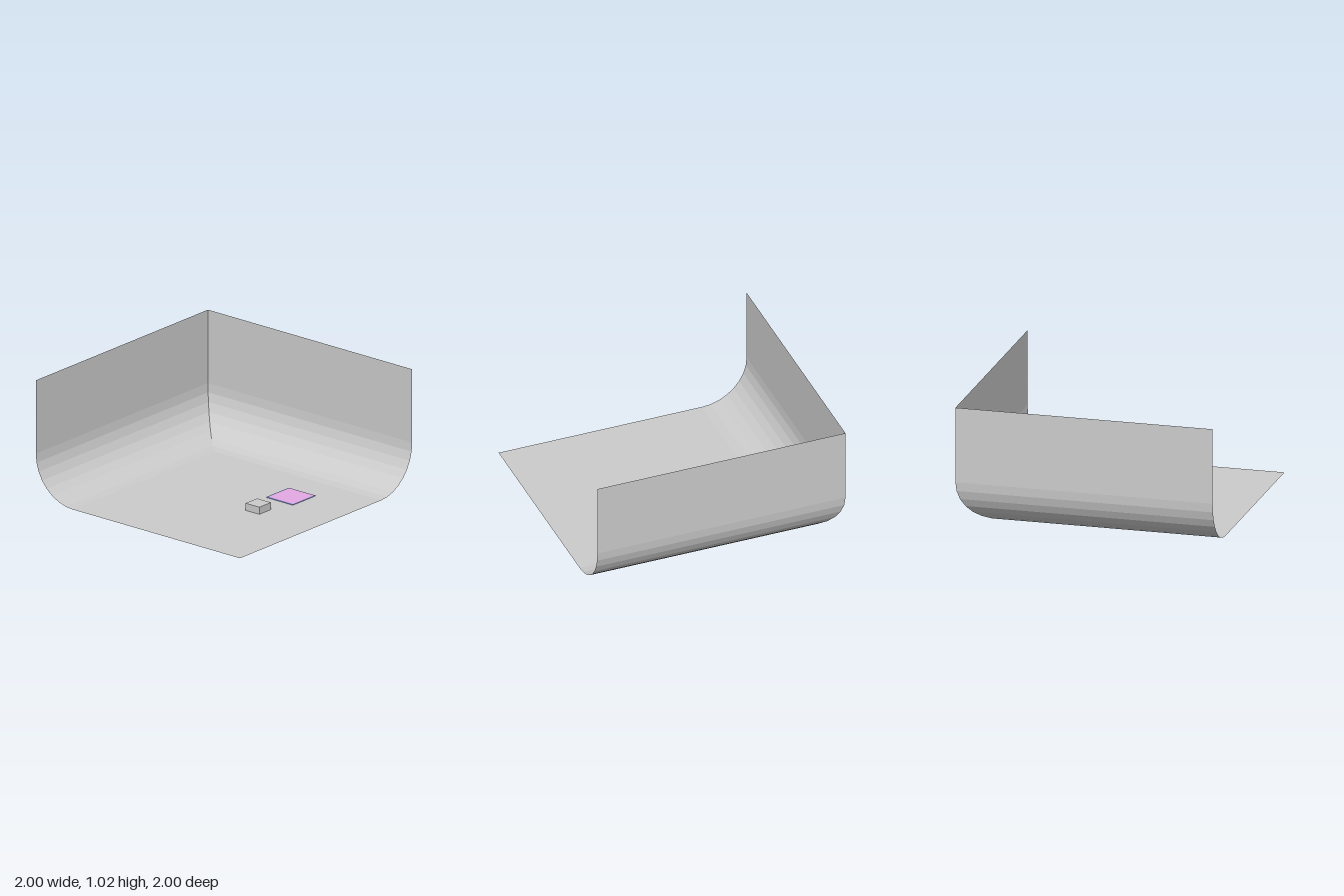
import * as THREE from 'three';

export function createModel() {
  const model = new THREE.Group();
  const grey = new THREE.MeshStandardMaterial({ color: 0xcccccc, side: THREE.DoubleSide, flatShading: true });
  grey.name = 'light grey';
  const blue = new THREE.MeshStandardMaterial({ color: 0x939bdf });
  blue.name = 'periwinkle';
  const pink = new THREE.MeshStandardMaterial({ color: 0xe5aae5 });
  pink.name = 'pink';

  const add = (name, geometry, material, x, y, z) => {
    const mesh = new THREE.Mesh(geometry, material);
    mesh.name = name;
    mesh.position.set(x, y, z);
    model.add(mesh);
    return mesh;
  };

  // Profile of the sheet: wall top, quarter-round cove, floor; d is both the x and z offset
  const floorY = 0.08, radius = 0.36, steps = 8;
  const profile = [[-1, 1.025]];
  for (let i = 0; i <= steps; i++) {
    const a = (i / steps) * Math.PI / 2;
    profile.push([-1 + radius * (1 - Math.cos(a)), floorY + radius * (1 - Math.sin(a))]);
  }
  profile.push([1, floorY]);

  // Two mitred strips, along the back and along the side, meeting on the diagonal
  const backStrip = [], sideStrip = [];
  const quad = (list, a, b, c, d) => list.push(...a, ...b, ...c, ...a, ...c, ...d);
  for (let i = 0; i < profile.length - 1; i++) {
    const [d0, y0] = profile[i], [d1, y1] = profile[i + 1];
    quad(backStrip, [d0, y0, d0], [d1, y1, d1], [1, y1, d1], [1, y0, d0]);
    quad(sideStrip, [d0, y0, d0], [d0, y0, 1], [d1, y1, 1], [d1, y1, d1]);
  }
  const sheet = (points) => {
    const geometry = new THREE.BufferGeometry();
    geometry.setAttribute('position', new THREE.Float32BufferAttribute(points, 3));
    geometry.computeVertexNormals();
    return geometry;
  };
  add('backWallAndFloor', sheet(backStrip), grey, 0, 0, 0);
  add('sideWallAndFloor', sheet(sideStrip), grey, 0, 0, 0);

  // Small block set through the floor
  add('block', new THREE.BoxGeometry(0.135, 0.137, 0.135), grey, 0.43, 0.0685, 0.112);

  // Square tile with a thin round-cornered inlay
  add('tile', new THREE.BoxGeometry(0.26, 0.025, 0.262), blue, 0.432, 0.0715, -0.264);
  const h = 0.12, r = 0.012;
  const inlay = new THREE.Shape();
  inlay.absarc(h - r, h - r, r, 0, Math.PI / 2);
  inlay.absarc(r - h, h - r, r, Math.PI / 2, Math.PI);
  inlay.absarc(r - h, r - h, r, Math.PI, Math.PI * 1.5);
  inlay.absarc(h - r, r - h, r, Math.PI * 1.5, Math.PI * 2);
  add('tileInlay', new THREE.ShapeGeometry(inlay, 4).rotateX(-Math.PI / 2), pink, 0.435, 0.0855, -0.266);

  return model;
}
